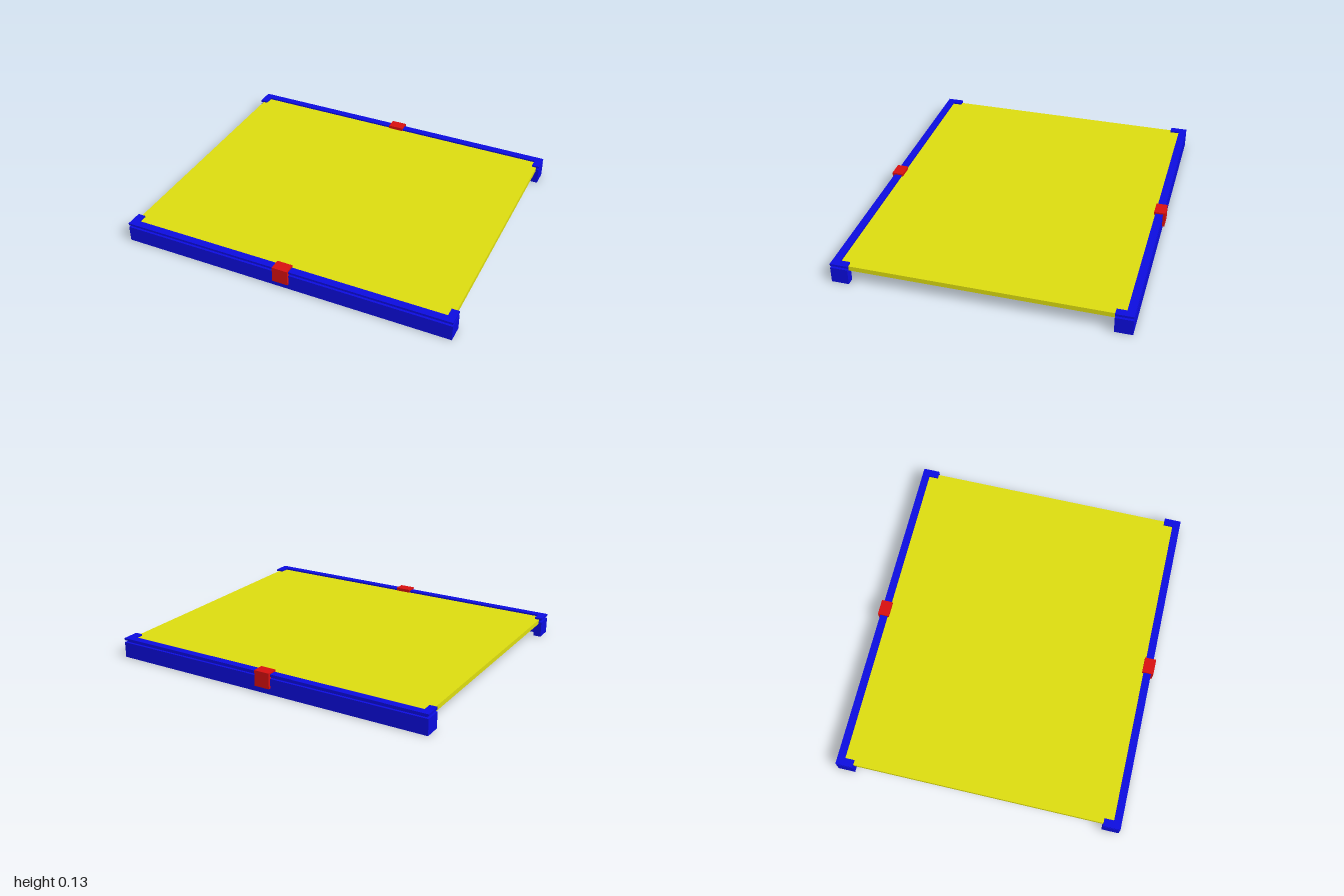
import * as THREE from 'three';

const blue = new THREE.MeshStandardMaterial({ color: 0x0c0ce0 });
const yellow = new THREE.MeshStandardMaterial({ color: 0xdddd10 });
const red = new THREE.MeshStandardMaterial({ color: 0xd81010 });

// U-shaped rail outline seen from above; inset shrinks only the outer sides
function railLayer(name, y0, y1, inset) {
  const x = 1 - inset, z = 0.843 - inset, armX = 0.955, wallZ = 0.798, armZ = 0.742;
  const shape = new THREE.Shape([
    [-x, armZ], [-armX, armZ], [-armX, wallZ], [armX, wallZ],
    [armX, armZ], [x, armZ], [x, z], [-x, z],
  ].map(([a, b]) => new THREE.Vector2(a, b)));
  const geo = new THREE.ExtrudeGeometry(shape, { depth: y1 - y0, bevelEnabled: false });
  geo.rotateX(-Math.PI / 2).translate(0, y0, 0);
  const mesh = new THREE.Mesh(geo, blue);
  mesh.name = name;
  return mesh;
}

// Hooked clip: L profile in the z-y plane, extruded along x
function clip() {
  const profile = new THREE.Shape([
    [0.79, 0.13], [0.79, 0.111], [0.835, 0.111], [0.835, 0.037], [0.857, 0.037], [0.857, 0.13],
  ].map(([z, y]) => new THREE.Vector2(z, y)));
  const geo = new THREE.ExtrudeGeometry(profile, { depth: 0.094, bevelEnabled: false });
  geo.translate(0, 0, -0.047).rotateY(Math.PI / 2);
  const mesh = new THREE.Mesh(geo, red);
  mesh.name = 'clip';
  return mesh;
}

export function createModel() {
  const model = new THREE.Group();
  model.name = 'panelWithRails';

  // Flat panel held between the two rails
  const panel = new THREE.Mesh(new THREE.BoxGeometry(1.964, 0.028, 1.62), yellow);
  panel.name = 'panel';
  panel.position.y = 0.096;
  model.add(panel);

  // Mirrored rails: base, recessed groove, top lip and a clip
  for (const [name, angle] of [['backRail', 0], ['frontRail', Math.PI]]) {
    const rail = new THREE.Group();
    rail.name = name;
    rail.add(
      railLayer('railBase', 0, 0.094, 0),
      railLayer('railGroove', 0.094, 0.107, 0.015),
      railLayer('railLip', 0.107, 0.12, 0),
    );
    const hook = clip();
    hook.rotation.y = Math.PI;
    rail.add(hook);
    rail.rotation.y = angle;
    model.add(rail);
  }
  return model;
}
